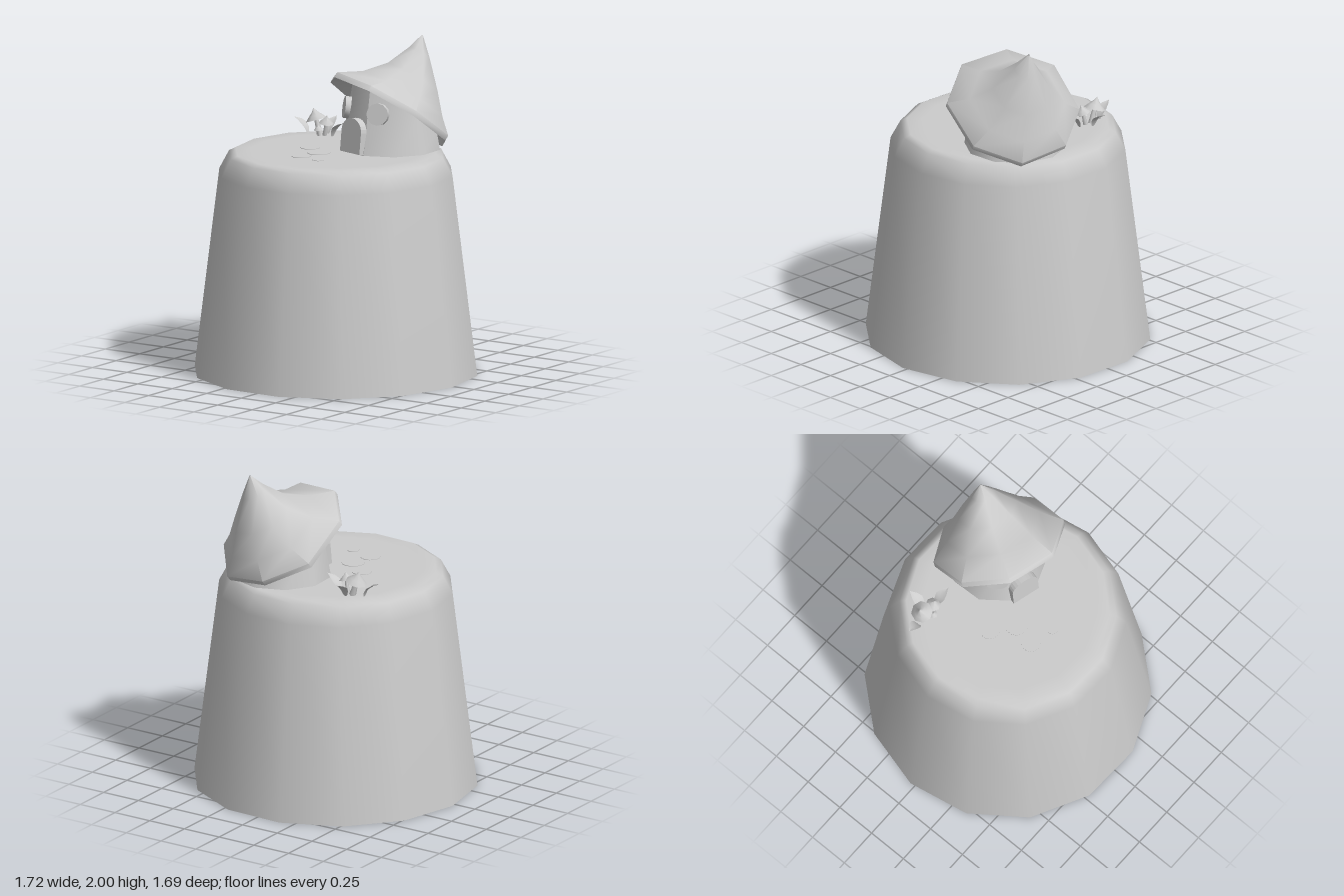
import * as THREE from 'three';
import { toCreasedNormals } from 'three/addons/utils/BufferGeometryUtils.js';

const grey = new THREE.MeshStandardMaterial({ color: 0xcccccc });
const greyDouble = new THREE.MeshStandardMaterial({ color: 0xcccccc, side: THREE.DoubleSide });
const GROUND = 1.34;
const HOUSE = new THREE.Vector3(0.21, GROUND, -0.27);
const FACING = -0.27; // heading of the door, turned from +z

function add(parent, name, geometry, material = grey) {
  const mesh = new THREE.Mesh(geometry, material);
  mesh.name = name;
  parent.add(mesh);
  return mesh;
}

const lathe = (points, sides, start = 0) =>
  new THREE.LatheGeometry(points.map(([r, y]) => new THREE.Vector2(r, y)), sides, start);

// Skin a list of equally long closed rings
function loft(rings) {
  const n = rings[0].length;
  const index = [];
  for (let i = 0; i < rings.length - 1; i++) {
    for (let j = 0; j < n; j++) {
      const a = i * n + j, d = i * n + (j + 1) % n;
      index.push(a, d + n, a + n, a, d, d + n);
    }
  }
  const g = new THREE.BufferGeometry();
  g.setAttribute('position', new THREE.Float32BufferAttribute(rings.flat().flatMap(p => p.toArray()), 3));
  g.setIndex(index);
  return g;
}

// Height of the tilted plane the hat brim lies in
const brimPlane = (x, z) => 1.58 - 0.29 * (x - 0.215) + 0.69 * (z + 0.265);
const wallRadius = y => 0.305 - (y - GROUND) * 0.19;

function createHat(parent) {
  const brim = [
    [-0.125, 1.53, -0.48], [0.12, 1.405, -0.61], [0.42, 1.355, -0.54], [0.6, 1.45, -0.31],
    [0.555, 1.64, -0.04], [0.31, 1.785, 0.08], [0.01, 1.82, 0], [-0.17, 1.73, -0.22],
  ].map(p => new THREE.Vector3(...p));
  const centre = new THREE.Vector3(0.215, 1.585, -0.265);
  const down = new THREE.Vector3(-0.23, -0.8, 0.55).multiplyScalar(0.035);
  const ring = (s, c, offset) => brim.map(p => {
    const q = p.clone().sub(centre).multiplyScalar(s).add(c);
    return offset ? q.add(offset) : q;
  });
  // Scale and centre of each section, from the tip down to the brim
  const sections = [
    [0.01, 0.3, 2.0, -0.475], [0.18, 0.295, 1.895, -0.45], [0.45, 0.275, 1.745, -0.4],
    [0.72, 0.245, 1.645, -0.33], [1, ...centre.toArray()],
  ].map(([s, ...c]) => [s, new THREE.Vector3(...c)]);
  const top = sections.map(([s, c]) => ring(s, c));
  const under = sections.slice(2).reverse().map(([s, c]) => ring(s, c, down));
  add(parent, 'hatRoof', toCreasedNormals(loft([...top, ...under]), 1.0), greyDouble);
}

function createHouse() {
  const house = new THREE.Group();
  house.name = 'house';

  // Tapered wall, its top cut along the slope of the roof
  const wall = new THREE.CylinderGeometry(1, 1, 1, 10, 1, true, FACING + Math.PI / 10);
  const pos = wall.attributes.position;
  for (let i = 0; i < pos.count; i++) {
    const x = pos.getX(i), z = pos.getZ(i);
    let y = GROUND;
    if (pos.getY(i) > 0) y = brimPlane(HOUSE.x + x * 0.25, HOUSE.z + z * 0.25) + 0.01;
    const r = wallRadius(y);
    pos.setXYZ(i, HOUSE.x + x * r, y, HOUSE.z + z * r);
  }
  wall.computeVertexNormals();
  add(house, 'wall', wall, greyDouble);

  // Door and windows share the turn of the house
  const front = new THREE.Group();
  front.name = 'houseFront';
  front.position.copy(HOUSE);
  front.rotation.y = FACING;
  house.add(front);

  const arch = new THREE.Shape();
  arch.moveTo(-0.09, 0);
  arch.lineTo(0.09, 0);
  arch.lineTo(0.09, 0.13);
  arch.absellipse(0, 0.13, 0.09, 0.08, 0, Math.PI);
  arch.lineTo(-0.09, 0);
  const door = add(front, 'door',
    new THREE.ExtrudeGeometry(arch, { depth: 0.08, bevelEnabled: false, curveSegments: 6 }));
  door.position.z = 0.24;
  door.rotation.x = -0.1;

  for (const side of [-1, 1]) {
    const disc = new THREE.CylinderGeometry(0.067, 0.067, 0.05, 12).rotateX(Math.PI / 2).rotateX(-0.15);
    disc.translate(0, 0.25, 0.255).rotateY(side * 0.58);
    add(front, side < 0 ? 'windowRight' : 'windowLeft', toCreasedNormals(disc, 0.8));
  }
  createHat(house);
  return house;
}

function createMushroom(x, z, capRadius, height, lean) {
  const mushroom = new THREE.Group();
  mushroom.name = 'mushroom';
  const stem = new THREE.CylinderGeometry(capRadius * 0.18, capRadius * 0.32, height, 6, 1, true);
  add(mushroom, 'stem', stem.translate(0, height / 2, 0));
  const r = capRadius;
  const cap = lathe([[r * 0.15, 0.015], [r, 0], [r * 0.62, r * 0.4], [r * 0.25, r * 0.75], [0, r * 1.15]], 8);
  const capMesh = add(mushroom, 'cap', toCreasedNormals(cap, 1.2), greyDouble);
  capMesh.position.y = height - 0.01;
  mushroom.position.set(x, GROUND, z);
  mushroom.rotation.set(lean[0], 0, lean[1]);
  return mushroom;
}

// Pointed leaf bending up and outwards along +x
function createLeaf(x, z, turn) {
  const leaf = new THREE.PlaneGeometry(1, 1, 4, 2);
  const pos = leaf.attributes.position;
  const widths = [0.012, 0.026, 0.034, 0.024, 0];
  for (let i = 0; i < pos.count; i++) {
    const t = pos.getX(i) + 0.5, v = pos.getY(i) * 2;
    const w = widths[Math.round(t * 4)];
    pos.setXYZ(i, 0.02 * t + 0.08 * t * t, 0.12 * t - 0.025 * t * t + Math.abs(v) * w * 0.3, -v * w);
  }
  leaf.computeVertexNormals();
  const mesh = new THREE.Mesh(leaf, greyDouble);
  mesh.name = 'leaf';
  mesh.position.set(x, GROUND, z);
  mesh.rotation.y = turn;
  return mesh;
}

export function createModel() {
  const model = new THREE.Group();
  model.name = 'houseOnStump';

  // Hollow stump with a rounded rim and a flat top
  const profile = [[0.859, 0], [0.709, 1.21], [0.65, 1.32], [0.61, GROUND], [0.52, GROUND], [0, GROUND]];
  add(model, 'stump', lathe(profile, 14, 0.19), greyDouble);

  // Round stepping stones leading from the door
  for (const [x, z, r] of [[-0.08, 0.25, 0.06], [0.07, 0.29, 0.036], [-0.05, 0.11, 0.07], [-0.18, 0.01, 0.06]]) {
    const stone = add(model, 'steppingStone', new THREE.CylinderGeometry(r, r, 0.004, 14));
    stone.position.set(x, GROUND + 0.001, z);
  }

  model.add(createHouse());

  // Mushroom cluster with three leaves around it
  const plants = new THREE.Group();
  plants.name = 'mushroomPatch';
  plants.add(
    createMushroom(-0.355, -0.35, 0.066, 0.1, [0, 0.3]),
    createMushroom(-0.315, -0.34, 0.045, 0.09, [0.1, -0.2]),
    createMushroom(-0.335, -0.31, 0.028, 0.05, [0.2, 0]),
    createLeaf(-0.43, -0.335, Math.PI + 0.1),
    createLeaf(-0.26, -0.34, -0.1),
    createLeaf(-0.33, -0.39, Math.PI / 2),
  );
  model.add(plants);
  return model;
}
